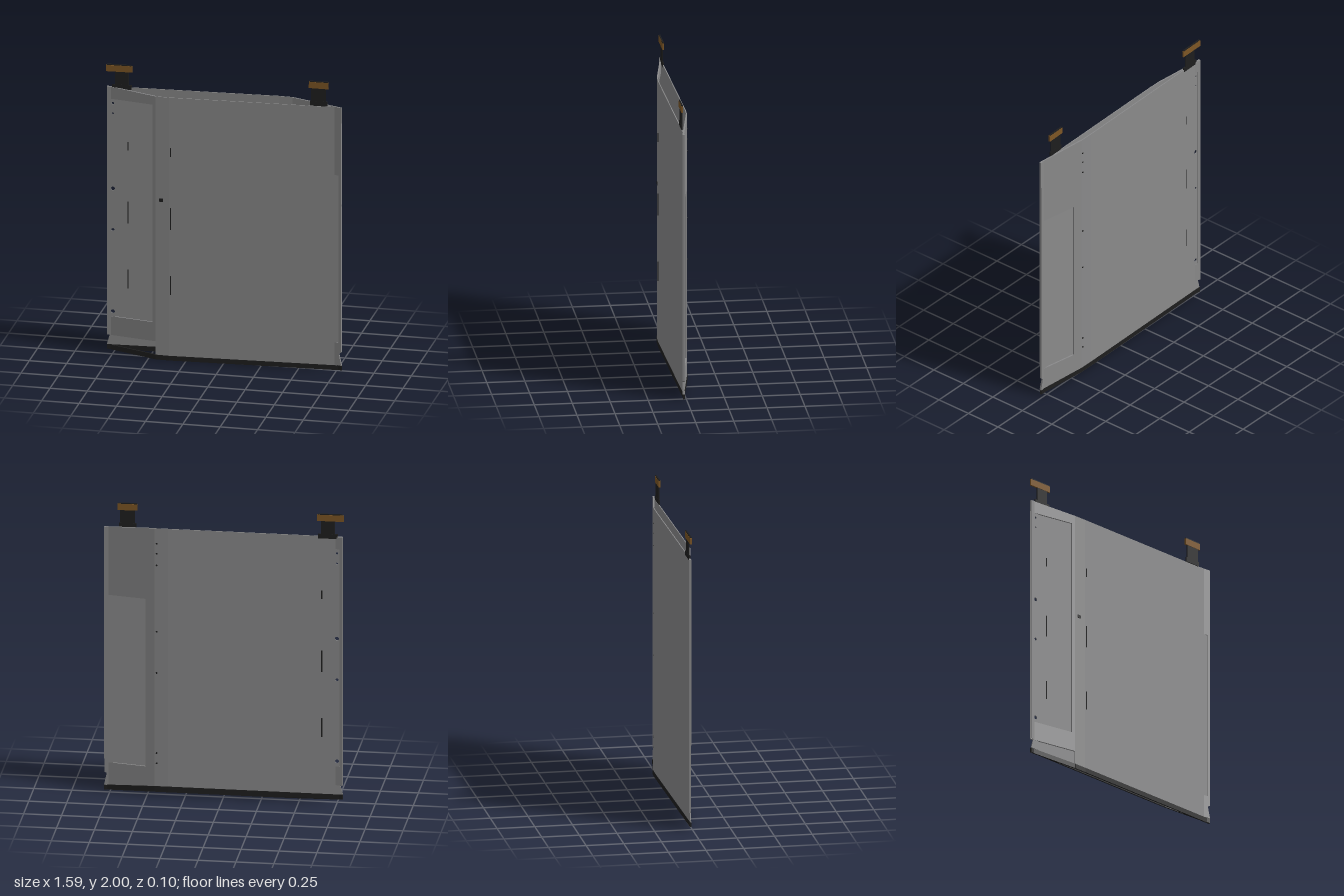
import * as THREE from 'three';

const mat = (name, color) => Object.assign(new THREE.MeshStandardMaterial({ color }), { name });

export function createModel() {
  const grey = mat('shell grey', 0x8a8a8b);
  const black = mat('trim black', 0x1e1e1e);
  const brown = mat('connector brown', 0x7d5625);
  const model = new THREE.Group();
  model.name = 'hollowPanelShell';

  // plan corners [x, z], walked so each wall's local +z faces outward
  const A = [-0.79, -0.02], B1 = [-0.45, 0.044], B2 = [-0.36, 0.046];
  const C = [0.79, 0.02], D1 = [0.45, -0.044], D2 = [0.36, -0.046];
  const bottomAt = p => 0.02 - 0.43 * p[1];
  const topAt = p => 1.837 - 0.4 * p[1];

  // local frame of a wall: x along the wall, y up, z outward
  const wallGroup = (name, p, q) => {
    const g = new THREE.Group();
    g.name = name;
    g.position.set(p[0], 0, p[1]);
    g.rotation.y = -Math.atan2(q[1] - p[1], q[0] - p[0]);
    g.userData.length = Math.hypot(q[0] - p[0], q[1] - p[1]);
    model.add(g);
    return g;
  };

  const slab = (g, name, points, holes, depth, outer, material) => {
    const shape = new THREE.Shape(points.map(([x, y]) => new THREE.Vector2(x, y)));
    shape.holes = holes;
    const geo = new THREE.ExtrudeGeometry(shape, { depth, bevelEnabled: false, curveSegments: 12 });
    geo.translate(0, 0, outer - depth);
    const mesh = new THREE.Mesh(geo, material);
    mesh.name = name;
    g.add(mesh);
  };

  const box = (g, name, x, y, z, w, h, d, material) => {
    const mesh = new THREE.Mesh(new THREE.BoxGeometry(w, h, d), material);
    mesh.name = name;
    mesh.position.set(x, y, z);
    g.add(mesh);
    return mesh;
  };

  const roundHole = (x, y, r) => new THREE.Path().absarc(x, y, r, 0, Math.PI * 2, true);
  const opening = (x0, y0, x1, y1) => new THREE.Path([[x0, y0], [x0, y1], [x1, y1], [x1, y0]]
    .map(([x, y]) => new THREE.Vector2(x, y)));

  // wall with a notched free edge above the skirt, plus the dark strip along its foot
  const wall = (name, p, q, { thick = 0.006, holes = [], notchStart, notchEnd, foot } = {}) => {
    const g = wallGroup(name, p, q), L = g.userData.length;
    const b0 = bottomAt(p), b1 = bottomAt(q), strip = 0.032;
    const pts = [[0, foot ?? b0 + strip], [L, foot ?? b1 + strip]];
    if (notchEnd) pts.push([L - 0.018, 0.125], [L - 0.002, 0.135]);
    pts.push([L, topAt(q)], [0, topAt(p)]);
    if (notchStart) pts.push([0.002, 0.135], [0.018, 0.125]);
    slab(g, name + 'Sheet', pts, holes, thick, 0, grey);
    slab(g, 'footStrip', [[0, b0], [L, b1], [L, b1 + strip], [0, b0 + strip]], [], 0.009, 0.002, black);
    return g;
  };

  // narrow sides with tall openings
  wall('frontNarrowSide', A, B1, { thick: 0.01, foot: 0.125, holes: [opening(0.02, 0.255, 0.322, 1.76)] });
  wall('backNarrowSide', C, D1, { thick: 0.01, notchStart: true, holes: [opening(0.02, 0.2, 0.285, 1.36)] });

  // bent corners
  const frontBend = wall('frontBend', B1, B2);
  const backBend = wall('backBend', D1, D2);

  // broad faces
  const front = wall('frontFace', B2, C, { notchEnd: true });
  const backLength = Math.hypot(D2[0] - A[0], D2[1] - A[1]);
  const back = wall('backFace', D2, A, {
    notchEnd: true,
    holes: [[1.73, 0.008], [1.66, 0.006], [1.14, 0.013], [0.855, 0.01], [0.29, 0.013]]
      .map(([y, r]) => roundHole(backLength - 0.04, y, r)),
  });

  // dark slots along the broad faces
  for (const [y, h] of [[1.44, 0.06], [0.98, 0.15], [0.52, 0.13]]) {
    box(front, 'slot', 0.01, y, 0, 0.007, h, 0.009, black);
    box(back, 'slot', backLength - 0.14, y, -0.003, 0.007, h, 0.009, black);
  }

  // rivets on the back bend and small dark clips
  for (const y of [1.75, 1.68, 1.6, 1.14, 0.855, 0.3, 0.23]) {
    const rivet = new THREE.Mesh(new THREE.CylinderGeometry(0.006, 0.006, 0.004, 12), black);
    rivet.name = 'rivet';
    rivet.rotation.x = Math.PI / 2;
    rivet.position.set(0.015, y, 0);
    backBend.add(rivet);
  }
  box(frontBend, 'clip', 0.035, 1.105, 0, 0.028, 0.022, 0.005, black);
  box(front, 'clip', front.userData.length - 0.012, 1.12, 0, 0.016, 0.024, 0.005, black);

  // flat connectors standing on the top edges
  const connector = (name, x, z, baseW, neckW, headW, headX, tilt) => {
    const g = new THREE.Group();
    g.name = name;
    g.position.set(x, 0, z);
    g.rotation.y = 0.02;
    model.add(g);
    box(g, 'connectorBase', 0, 1.846, 0, baseW, 0.032, 0.008, black);
    box(g, 'connectorNeck', 0, 1.905, 0, neckW, 0.1, 0.006, black);
    box(g, 'connectorHead', headX, 1.972, 0, headW, 0.043, 0.011, brown).rotation.z = tilt;
    box(g, 'connectorCap', headX, 1.997, 0, headW * 0.94, 0.006, 0.009, black);
  };
  connector('rightConnector', -0.69, -0.019, 0.13, 0.09, 0.175, -0.018, 0.01);
  connector('leftConnector', 0.635, 0.021, 0.115, 0.098, 0.13, 0, -0.01);

  return model;
}
